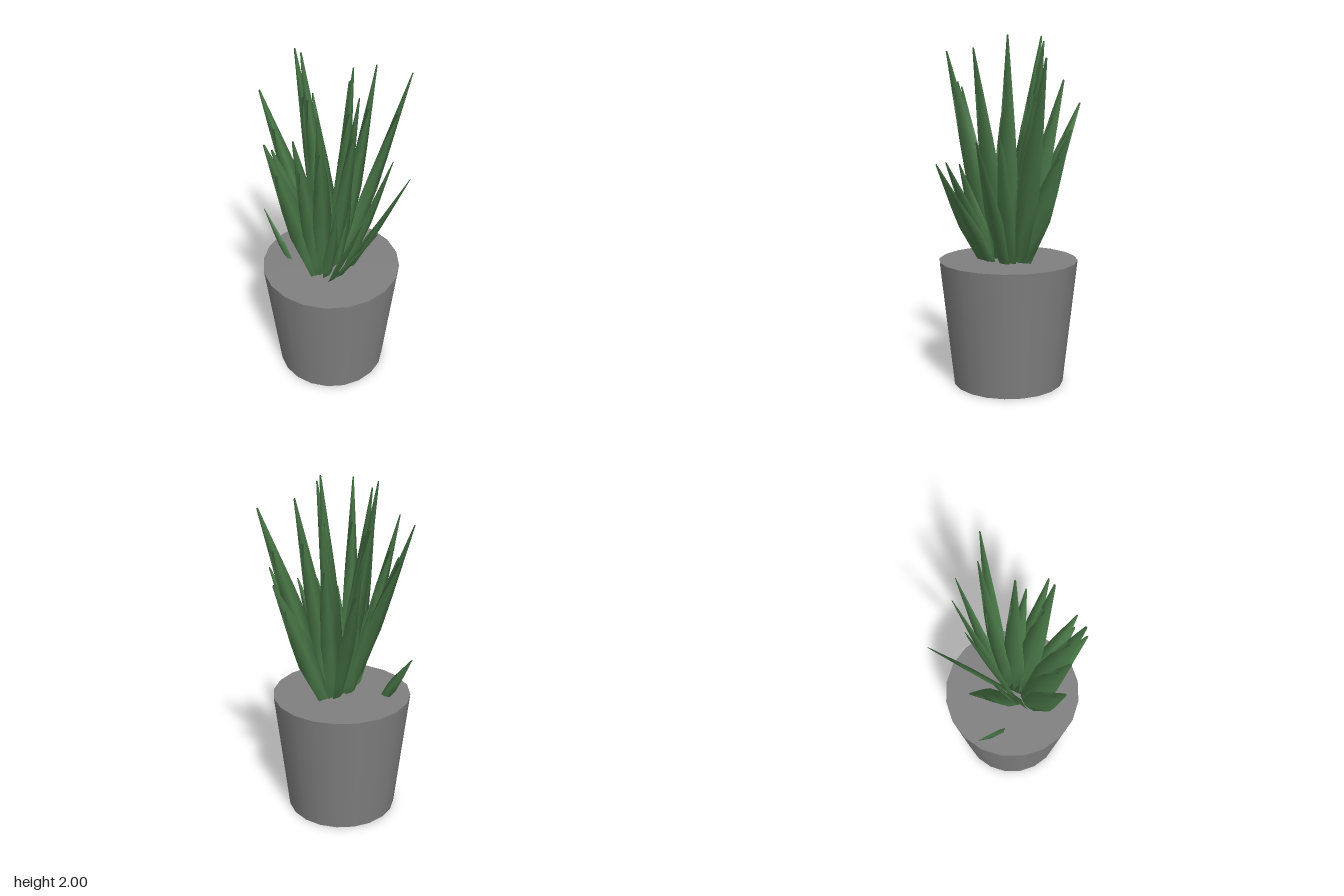
import * as THREE from 'three';

const potGrey = new THREE.MeshStandardMaterial({ color: 0x808080 });
potGrey.name = 'pot grey';
const leafGreen = new THREE.MeshStandardMaterial({ color: 0x4a7848 });
leafGreen.name = 'leaf green';

// Leaf outline: [position along leaf, half width, half thickness]
const PROFILE = [
  [0, 0.045, 0.012], [0.15, 0.055, 0.013], [0.4, 0.074, 0.012],
  [0.6, 0.056, 0.009], [0.8, 0.031, 0.006], [1, 0.006, 0.002],
];

// A straight, pointed leaf with a diamond cross-section
function leafGeometry(base, tip, scale, side) {
  const d = tip.clone().sub(base).normalize();
  const w = side ? side.clone().addScaledVector(d, -side.dot(d)).normalize()
    : new THREE.Vector3(d.y, -d.x, 0).normalize();
  const n = d.clone().cross(w);
  const pos = [], idx = [];
  PROFILE.forEach(([t, hw, ht], r) => {
    const c = base.clone().lerp(tip, t);
    for (let k = 0; k < 4; k++) {
      const a = k * Math.PI / 2;
      const p = c.clone().addScaledVector(w, Math.cos(a) * hw * scale).addScaledVector(n, Math.sin(a) * ht);
      pos.push(p.x, p.y, p.z);
      if (r > 0) {
        const i = (r - 1) * 4 + k, j = (r - 1) * 4 + (k + 1) % 4;
        idx.push(i, j, j + 4, i, j + 4, i + 4);
      }
    }
  });
  const e = (PROFILE.length - 1) * 4;
  idx.push(e, e + 1, e + 2, e, e + 2, e + 3, 0, 2, 1, 0, 3, 2);
  const g = new THREE.BufferGeometry();
  g.setAttribute('position', new THREE.Float32BufferAttribute(pos, 3));
  g.setIndex(idx);
  g.computeVertexNormals();
  return g;
}

// Leaf tips [x, y, z]
const TALL = [
  [0, 2, -0.275], [0.03, 1.97, -0.26], [0.045, 1.99, 0.08], [-0.08, 1.92, 0.22],
  [-0.33, 1.91, 0.17], [0.27, 1.91, 0.055], [0.4, 1.86, 0.195], [0.155, 1.84, -0.025],
  [-0.14, 1.77, -0.41], [-0.37, 1.74, 0.04], [-0.45, 1.71, -0.08], [0.27, 1.75, -0.13],
  [0.22, 1.62, -0.355], [-0.26, 1.53, -0.22], [0.45, 1.49, 0.045],
];
const SHORT = [
  [0.15, 1.46, 0.275], [0.115, 1.43, 0.415], [0.02, 1.4, 0.1], [-0.11, 1.31, 0.41],
  [-0.23, 1.29, 0.365], [-0.22, 1.28, 0.19], [-0.12, 1.19, 0.39],
  [-0.08, 1.34, -0.2], [-0.05, 1.2, -0.12],
];

export function createModel() {
  const model = new THREE.Group();
  model.name = 'pottedPlant';

  // Tapered pot
  const pot = new THREE.Mesh(new THREE.CylinderGeometry(0.4, 0.32, 0.725, 20), potGrey);
  pot.name = 'pot';
  pot.position.set(-0.027, 0.3625, -0.01);
  model.add(pot);

  // Leaves fanning out of the middle of the pot
  const leaves = new THREE.Group();
  leaves.name = 'leaves';
  model.add(leaves);
  const addLeaf = (name, base, tip, scale, side) => {
    const leaf = new THREE.Mesh(leafGeometry(base, tip, scale, side), leafGreen);
    leaf.name = name;
    leaves.add(leaf);
  };
  for (const [x, y, z] of TALL) {
    addLeaf('tallLeaf', new THREE.Vector3(x * 0.25 - 0.03, 0.69, z * 0.06), new THREE.Vector3(x, y, z), 1);
  }
  for (const [x, y, z] of SHORT) {
    addLeaf('shortLeaf', new THREE.Vector3(x * 0.45 - 0.02, 0.69, z * 0.2), new THREE.Vector3(x, y, z), 0.85);
  }

  // Stray low leaf near the back rim, turned edge-on
  addLeaf('strayLeaf', new THREE.Vector3(-0.155, 0.66, -0.19), new THREE.Vector3(-0.16, 1, -0.41), 0.45, new THREE.Vector3(0, 0, 1));
  return model;
}
